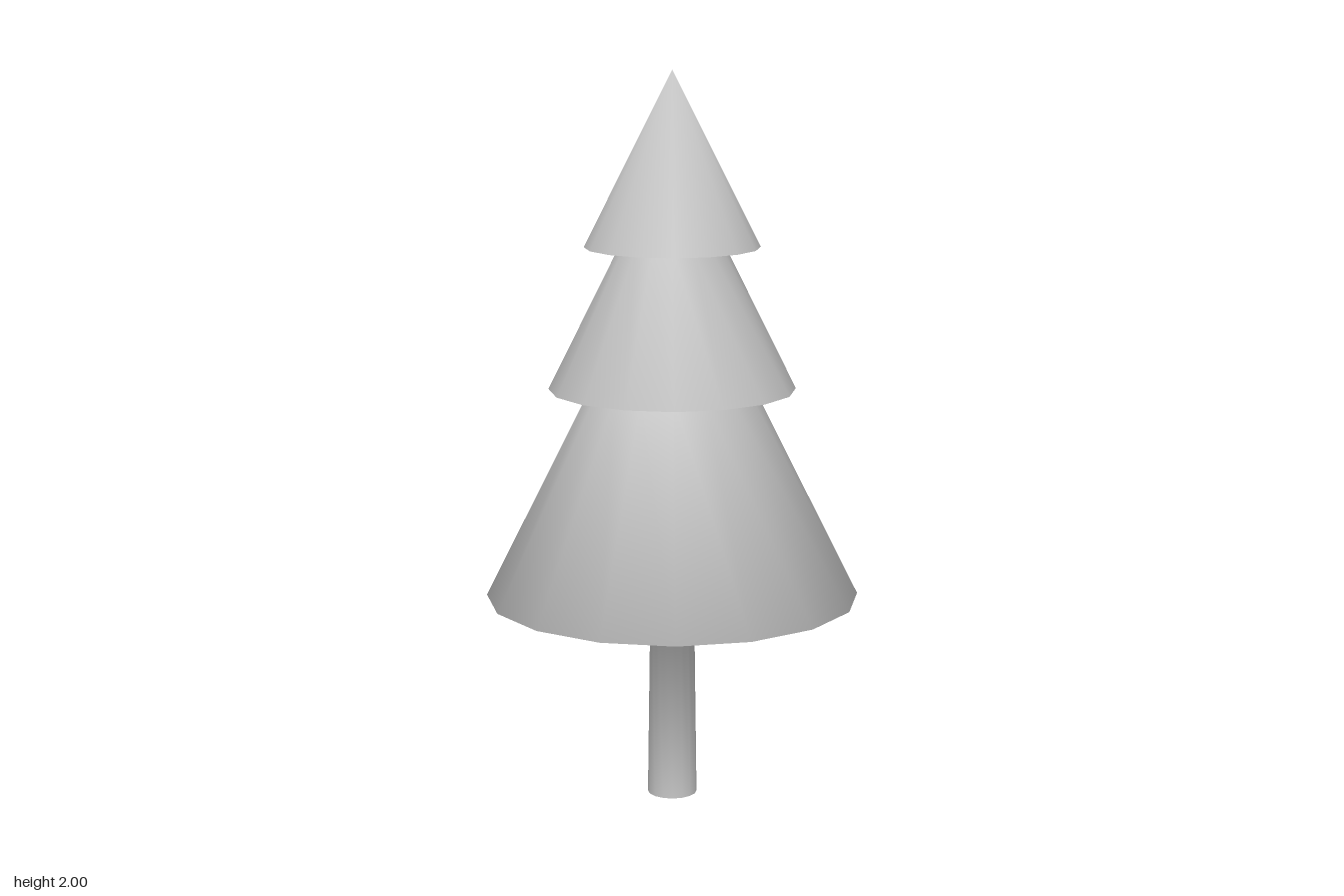
import * as THREE from 'three';
import { mergeVertices } from 'three/addons/utils/BufferGeometryUtils.js';

const SIDES = 16;

// Profile of the whole tree, bottom to top, as [radius, height]
const PROFILE = [
  [0, 0], [0.068, 0], [0.06, 0.57],     // trunk
  [0.51, 0.57], [0.222, 1.145],         // lower tier: underside, slope
  [0.335, 1.145], [0.143, 1.53],        // middle tier
  [0.237, 1.53], [0, 2],                // top tier
];

// Each part owns two consecutive bands of the profile
const PARTS = ['trunk', 'lowerBranches', 'middleBranches', 'treetop'];

export function createModel() {
  const tree = new THREE.Group();
  tree.name = 'coniferTree';

  // One continuous skin, so that shading flows smoothly over rims and joints
  const points = PROFILE.map(([r, y]) => new THREE.Vector2(r, y));
  const lathe = new THREE.LatheGeometry(points, SIDES);
  lathe.deleteAttribute('uv');
  lathe.deleteAttribute('normal');
  const skin = mergeVertices(lathe);
  skin.computeVertexNormals();

  // Split the skin into named parts, keeping the shared normals
  const material = new THREE.MeshStandardMaterial({ color: 0xcccccc });
  const index = Array.from(skin.index.array);
  const bands = PROFILE.length - 1;
  PARTS.forEach((name, p) => {
    const part = skin.clone();
    part.setIndex(index.filter((_, i) => {
      const band = Math.floor(i / 6) % bands;
      return Math.floor(band / 2) === p;
    }));
    const mesh = new THREE.Mesh(part.toNonIndexed(), material);
    mesh.name = name;
    tree.add(mesh);
  });
  return tree;
}
